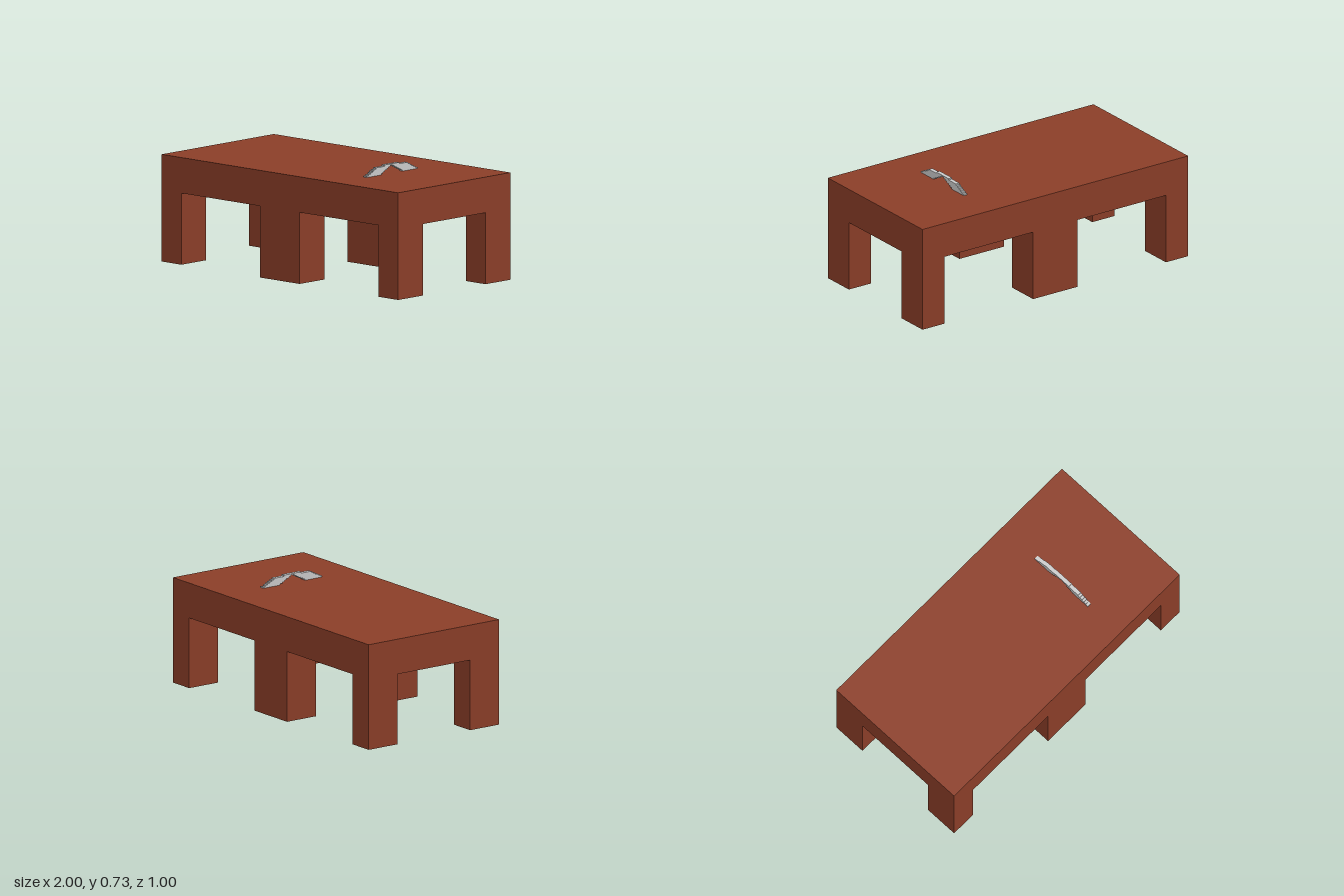
import * as THREE from 'three';

export function createModel() {
  const model = new THREE.Group();
  model.name = 'doubleTable';
  const wood = new THREE.MeshStandardMaterial({ color: 0x8b3e28 });
  const metal = new THREE.MeshStandardMaterial({ color: 0xcccccc });

  // Box given by its extents along each axis
  const block = (parent, name, material, [x0, x1], [y0, y1], [z0, z1]) => {
    const mesh = new THREE.Mesh(new THREE.BoxGeometry(x1 - x0, y1 - y0, z1 - z0), material);
    mesh.position.set((x0 + x1) / 2, (y0 + y1) / 2, (z0 + z1) / 2);
    mesh.name = name;
    parent.add(mesh);
  };

  // Two identical tables side by side, each a thick top on four legs
  const topY = 0.667, legY = 0.445, legX = 0.167, legZ = 0.222;
  for (const side of [-1, 1]) {
    const table = new THREE.Group();
    table.name = side < 0 ? 'rightTable' : 'leftTable';
    table.position.x = side * 0.5;
    block(table, 'tableTop', wood, [-0.5, 0.5], [legY, topY], [-0.5, 0.5]);
    for (const x of [-0.5, 0.5 - legX])
      for (const z of [-0.5, 0.5 - legZ])
        block(table, 'leg', wood, [x, x + legX], [0, legY], [z, z + legZ]);
    model.add(table);
  }

  // Arched handle: mirrored stepped strips closed by one strip on top
  const handle = new THREE.Group();
  handle.name = 'handle';
  handle.position.set(0.472, topY, 0.0125);
  const layer = 0.0083, length = 0.13, halfWidth = 0.013;
  for (let i = 0; i < 6; i++) {
    const outer = 0.2255 - i * 0.0166;
    const y = [i * layer, (i + 1) * layer];
    block(handle, 'frontStep', metal, [-halfWidth, halfWidth], y, [outer - length, outer]);
    block(handle, 'backStep', metal, [-halfWidth, halfWidth], y, [-outer, length - outer]);
  }
  block(handle, 'topStep', metal, [-halfWidth, halfWidth], [6 * layer, 7 * layer], [-length / 2, length / 2]);
  model.add(handle);

  return model;
}
